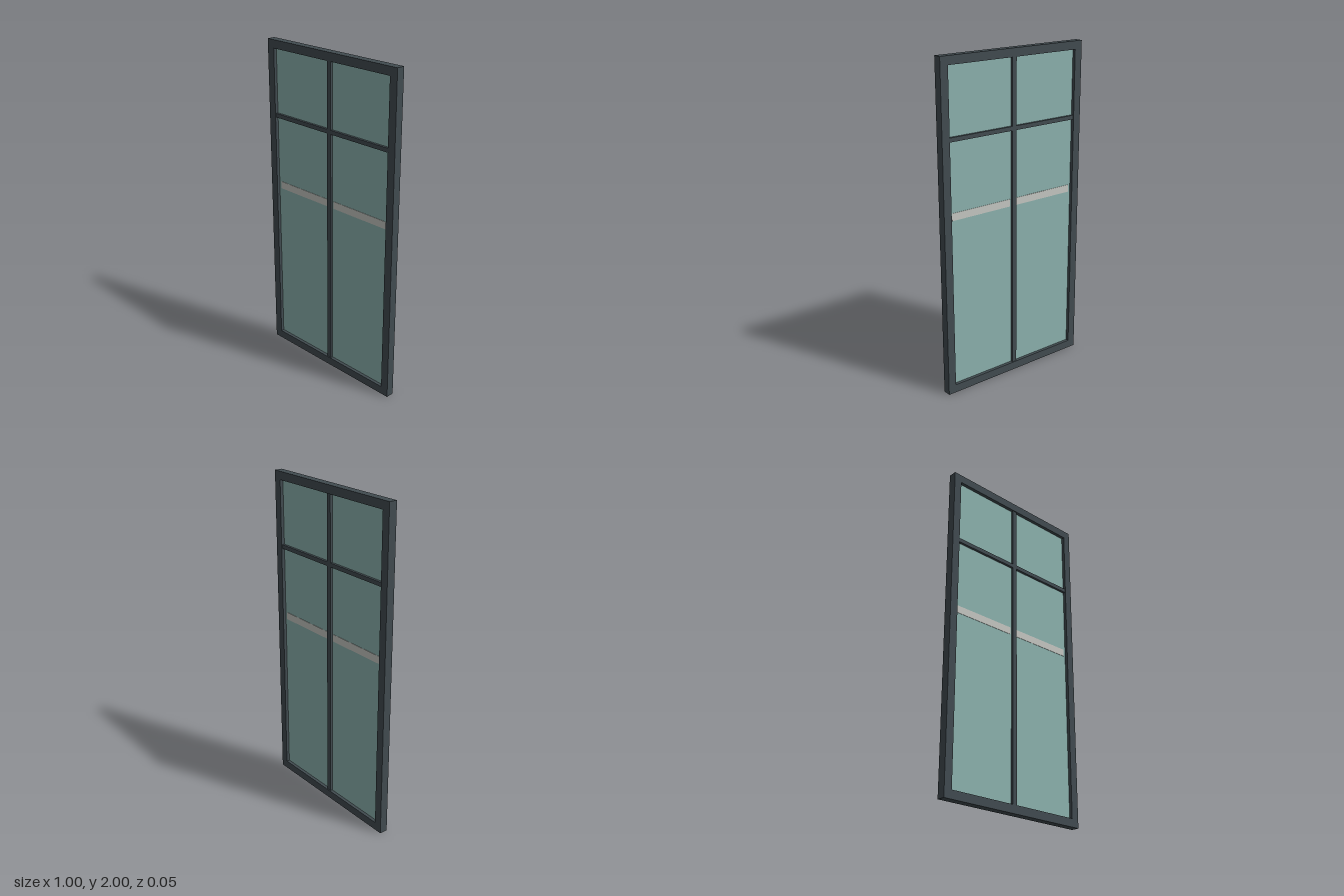
import * as THREE from 'three';

export function createModel() {
  const group = new THREE.Group();
  const material = (name, color) => {
    const m = new THREE.MeshStandardMaterial({ color });
    m.name = name;
    return m;
  };
  const metal = material('dark grey metal', 0x414b50);
  const glass = material('green glass', 0x8bb1ad);
  const film = material('pale film', 0xc4c6c1);

  const box = (name, mat, w, h, d, x, y, z = 0) => {
    const mesh = new THREE.Mesh(new THREE.BoxGeometry(w, h, d), mat);
    mesh.name = name;
    mesh.position.set(x, y, z);
    group.add(mesh);
  };

  const depth = 0.05, border = 0.05, barDepth = 0.04;
  const mullion = 0.03, barHeight = 0.025, barY = 1.546;

  // Outer frame: full-height stiles with rails between them
  box('bottomRail', metal, 0.9, border, depth, 0, border / 2);
  box('topRail', metal, 0.9, border, depth, 0, 2 - border / 2);
  // Centre mullion
  box('centreMullion', metal, mullion, 1.9, barDepth, 0, 1);

  const inner = mullion / 2, outer = 0.45;
  const paneWidth = outer - inner;
  const lowTop = barY - barHeight / 2, highBottom = barY + barHeight / 2;

  for (const [label, side] of [['left', 1], ['right', -1]]) {
    const x = side * (inner + outer) / 2;
    box(label + 'Stile', metal, border, 2, depth, side * 0.475, 1);
    box(label + 'CrossBar', metal, paneWidth, barHeight, barDepth, x, barY);

    // Lower and upper panes
    box(label + 'LowerPane', glass, paneWidth, lowTop - border, 0.01, x, (lowTop + border) / 2);
    box(label + 'UpperPane', glass, paneWidth, 1.95 - highBottom, 0.01, x, (1.95 + highBottom) / 2);

    // Safety strips on both faces of the glass
    for (const [face, z] of [['Front', 0.006], ['Back', -0.006]]) {
      box(label + face + 'Strip', film, 0.41, 0.045, 0.002, side * 0.23, 1.1, z);
    }
  }
  return group;
}
